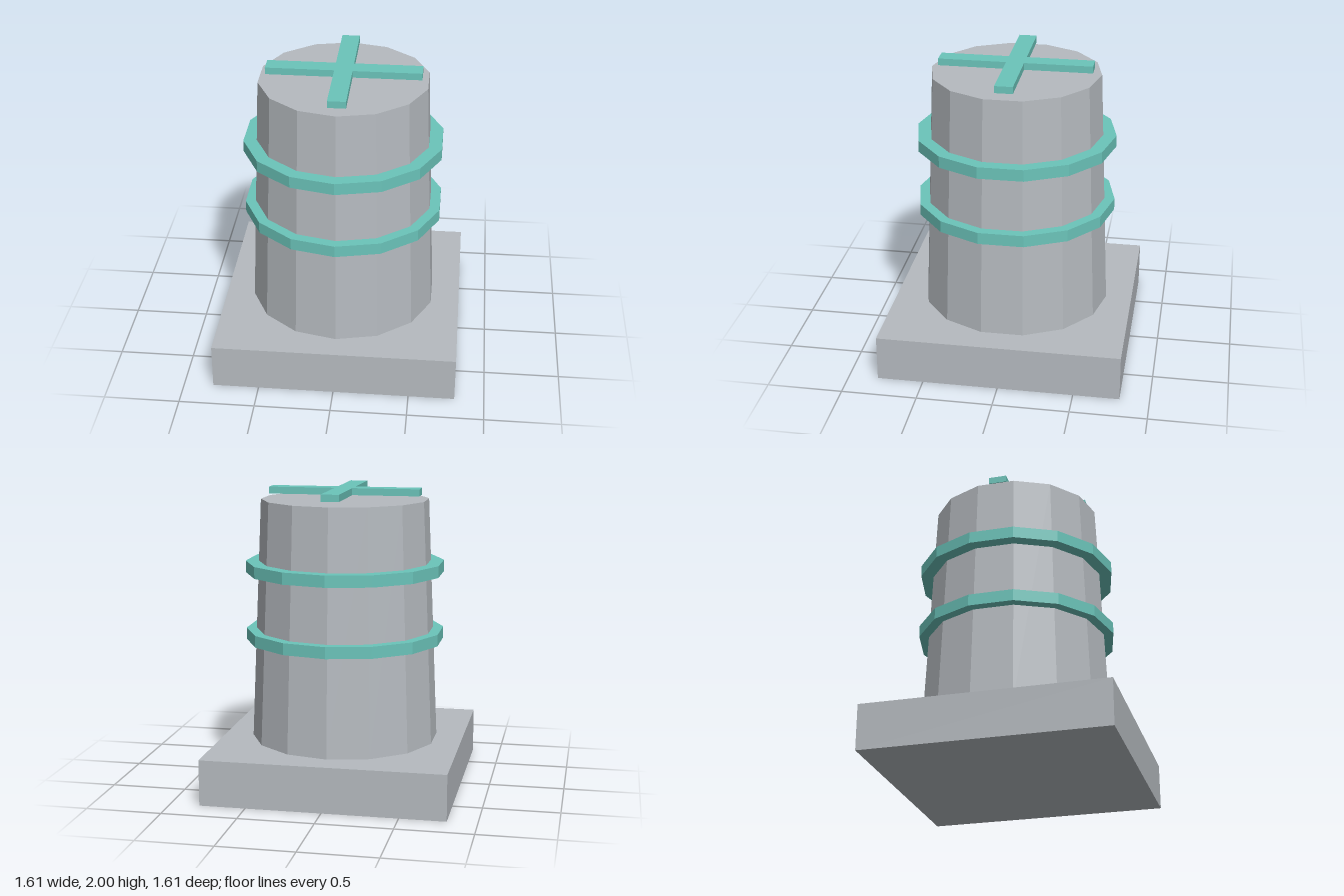
import * as THREE from 'three';

const SIDES = 14;

export function createModel() {
  const model = new THREE.Group();
  const stone = new THREE.MeshStandardMaterial({ name: 'pale grey', color: 0xb5babf, flatShading: true });
  const teal = new THREE.MeshStandardMaterial({ name: 'teal', color: 0x6bc4ba, flatShading: true });

  const add = (name, geometry, material, y) => {
    const mesh = new THREE.Mesh(geometry, material);
    mesh.name = name;
    mesh.position.y = y;
    model.add(mesh);
    return mesh;
  };

  // Square plinth
  add('base', new THREE.BoxGeometry(1.61, 0.305, 1.61), stone, 0.1525);

  // Tapered faceted tower
  add('tower', new THREE.CylinderGeometry(0.56, 0.63, 1.62, SIDES), stone, 1.115);

  // Two bands around the tower
  [['lowerBand', 1.015], ['upperBand', 1.472]].forEach(([name, y]) => {
    add(name, new THREE.CylinderGeometry(0.666, 0.666, 0.078, SIDES), teal, y);
  });

  // Cross hovering just above the tower, one outline so no faces overlap
  const arm = 0.506, half = 0.059;
  const outline = [];
  for (let i = 0; i < 4; i++) {
    const centre = new THREE.Vector2();
    [[arm, -half], [arm, half], [half, half]].forEach(([x, y]) => {
      outline.push(new THREE.Vector2(x, y).rotateAround(centre, i * Math.PI / 2));
    });
  }
  const cross = new THREE.ExtrudeGeometry(new THREE.Shape(outline), { depth: 0.046, bevelEnabled: false });
  cross.rotateX(-Math.PI / 2);
  add('topCross', cross, teal, 1.954);

  return model;
}
